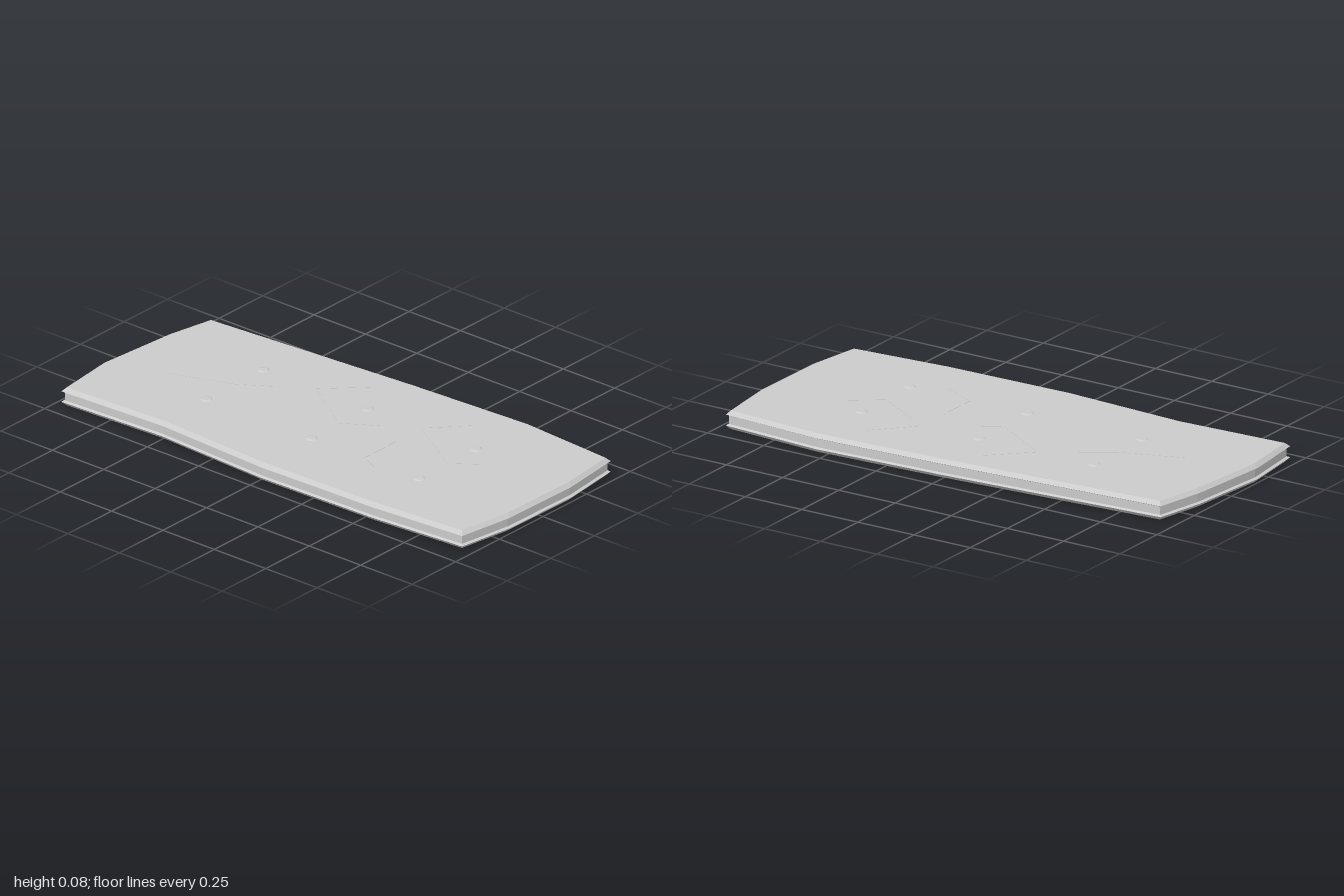
import * as THREE from 'three';

// Plan outline as [x, z], clockwise seen from above
const OUTLINE = [
  [-0.93, -0.37], [-0.5, -0.4], [0.01, -0.435], [0.545, -0.46], [0.965, -0.43],
  [0.995, -0.17], [0.99, 0.18], [0.955, 0.41], [0.545, 0.44], [0.01, 0.45],
  [-0.5, 0.42], [-0.97, 0.44], [-1, 0.175], [-0.97, -0.17],
].map(([x, z]) => new THREE.Vector2(x, z));

// Edge profile as [inset, y]: two bevelled rims with a groove between
const PROFILE = [[0.014, 0], [0, 0.015], [0.01, 0.02], [0.01, 0.053], [0, 0.058], [0.015, 0.073]];
const TOP = 0.073;

// Moves the outline inwards by a constant distance, with mitred corners
function insetOutline(d) {
  const n = OUTLINE.length;
  const inward = (a, b) => new THREE.Vector2(a.y - b.y, b.x - a.x).normalize();
  return OUTLINE.map((p, i) => {
    const n1 = inward(OUTLINE[(i + n - 1) % n], p);
    const n2 = inward(p, OUTLINE[(i + 1) % n]);
    const m = n1.clone().add(n2).normalize();
    return p.clone().addScaledVector(m, d / m.dot(n1));
  });
}

function slabGeometry() {
  const rings = PROFILE.map(([d, y]) => insetOutline(d).map((p) => new THREE.Vector3(p.x, y, p.y)));
  const pos = [];
  const tri = (a, b, c) => [a, b, c].forEach((v) => pos.push(v.x, v.y, v.z));
  const n = OUTLINE.length;
  for (let r = 0; r < rings.length - 1; r++) {
    for (let i = 0; i < n; i++) {
      const j = (i + 1) % n, lo = rings[r], up = rings[r + 1];
      tri(lo[i], up[i], up[j]);
      tri(lo[i], up[j], lo[j]);
    }
  }
  // Bottom and top faces
  const cap = (ring, sign) => {
    const flat = ring.map((v) => new THREE.Vector2(v.x, v.z));
    for (const [i, j, k] of THREE.ShapeUtils.triangulateShape(flat, [])) {
      const a = ring[i], b = ring[j], c = ring[k];
      const ny = b.clone().sub(a).cross(c.clone().sub(a)).y;
      if (ny * sign > 0) tri(a, b, c);
      else tri(a, c, b);
    }
  };
  cap(rings[0], -1);
  cap(rings[rings.length - 1], 1);
  const g = new THREE.BufferGeometry();
  g.setAttribute('position', new THREE.Float32BufferAttribute(pos, 3));
  g.computeVertexNormals();
  return g;
}

export function createModel() {
  const model = new THREE.Group();
  model.name = 'slab';
  const grey = new THREE.MeshStandardMaterial({ color: 0xcccccc, flatShading: true });
  const add = (geometry, name) => {
    const mesh = new THREE.Mesh(geometry, grey);
    mesh.name = name;
    model.add(mesh);
    return mesh;
  };

  add(slabGeometry(), 'plate');

  // Low studs in two rows of three
  const stud = new THREE.CylinderGeometry(0.016, 0.026, 0.004, 8);
  for (const x of [-0.495, 0.015, 0.54]) {
    for (const z of [-0.16, 0.165]) add(stud, 'stud').position.set(x, TOP + 0.0015, z);
  }

  // Hairline cracks across the top face
  const cracks = [
    [[-0.75, 0.09], [-0.5, 0], [-0.36, -0.09]],
    [[-0.1, -0.305], [-0.245, -0.165], [0.01, 0], [0.155, -0.09]],
    [[0.41, -0.315], [0.27, -0.165], [0.535, 0], [0.65, -0.085]],
    [[0.27, -0.015], [0.27, 0.16], [0.41, 0.23]],
  ];
  for (const path of cracks) {
    for (let i = 0; i < path.length - 1; i++) {
      const [x1, z1] = path[i], [x2, z2] = path[i + 1];
      const length = Math.hypot(x2 - x1, z2 - z1);
      const line = add(new THREE.BoxGeometry(length, 0.001, 0.003), 'crack');
      line.position.set((x1 + x2) / 2, TOP + 0.0003, (z1 + z2) / 2);
      line.rotation.y = -Math.atan2(z2 - z1, x2 - x1);
    }
  }
  return model;
}
